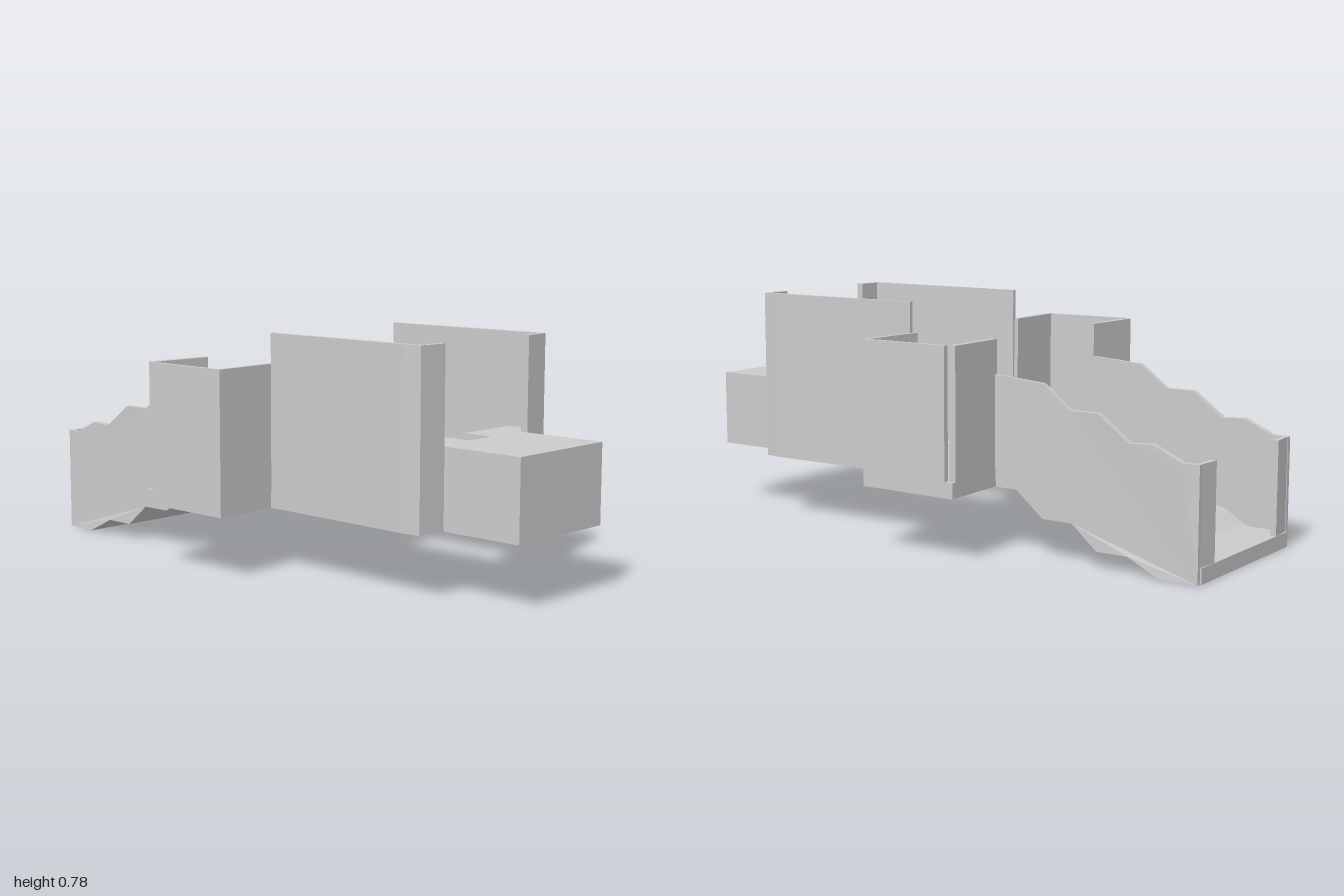
import * as THREE from 'three';
import { toCreasedNormals } from 'three/addons/utils/BufferGeometryUtils.js';

const material = new THREE.MeshStandardMaterial({ color: 0xcccccc });

function addMesh(group, name, geometry) {
  const mesh = new THREE.Mesh(geometry, material);
  mesh.name = name;
  group.add(mesh);
}

// Plan outline of [x, z] points raised from y0 to y1
function planGeometry(points, y0, y1) {
  const shape = new THREE.Shape(points.map(([x, z]) => new THREE.Vector2(x, -z)));
  const geometry = new THREE.ExtrudeGeometry(shape, { depth: y1 - y0, bevelEnabled: false });
  return geometry.rotateX(-Math.PI / 2).translate(0, y0, 0);
}

// Side outline of [z, y] points spread from x0 to x1
function sideGeometry(points, x0, x1) {
  const shape = new THREE.Shape(points.map(([z, y]) => new THREE.Vector2(z, y)));
  const geometry = new THREE.ExtrudeGeometry(shape, { depth: x1 - x0, bevelEnabled: false });
  return geometry.rotateY(-Math.PI / 2).translate(x1, 0, 0);
}

export function createModel() {
  const group = new THREE.Group();
  const base = 0.21, floorTop = 0.26;

  // Stepped underside and wall top of the ramp, front to back
  const under = [[-0.27, base], [-0.35, base], [-0.45, 0.13], [-0.56, 0.13],
    [-0.65, 0.055], [-0.76, 0.055], [-0.87, 0], [-0.995, 0]];
  const wallTop = [[-0.995, 0.36], [-0.94, 0.36], [-0.84, 0.405], [-0.76, 0.4],
    [-0.65, 0.48], [-0.55, 0.48], [-0.45, 0.555], [-0.25, 0.57]];

  // Cross-shaped middle floor
  const half = [[0.3, 0.165], [0.3, 0.065], [0.535, 0.08], [0.54, -0.275], [0.3, -0.265]];
  const mirrored = half.map(([x, z]) => [-x, z]).reverse();
  addMesh(group, 'middleFloor', planGeometry([...half, ...mirrored], base, floorTop));

  // Ramp floor with a smooth wavy top
  const wave = new THREE.SplineCurve(under.map(([z, y]) => new THREE.Vector2(z, y + 0.05)));
  const waveTop = wave.getPoints(48).reverse().map((p) => [p.x, Math.max(p.y, 0.05)]);
  waveTop[0] = [-1, 0.05];
  const rampFloor = sideGeometry([...under.slice(0, -1), [-1, 0], ...waveTop], -0.292, 0.292);
  addMesh(group, 'rampFloor', toCreasedNormals(rampFloor, 0.35));

  // Front block, with a notch in its back edge above a thin sill
  addMesh(group, 'frontSill', planGeometry(
    [[-0.295, 0.58], [0.295, 0.58], [0.295, 0.7], [0.205, 0.71], [0.205, 1],
      [-0.205, 1], [-0.205, 0.71], [-0.295, 0.7]], base, floorTop));
  addMesh(group, 'frontBlock', planGeometry(
    [[0.055, 0.58], [0.292, 0.58], [0.292, 0.695], [0.205, 0.705], [0.205, 1],
      [-0.205, 1], [-0.205, 0.705], [-0.292, 0.695], [-0.292, 0.58],
      [-0.055, 0.58], [-0.055, 0.69], [0.055, 0.69]], floorTop, 0.47));

  for (const [side, s] of [['left', 1], ['right', -1]]) {
    const plan = (name, points, y0, y1) =>
      addMesh(group, side + name, planGeometry(points.map(([x, z]) => [s * x, z]), y0, y1));

    // Tall front wall with a return at its front end
    plan('FrontWall', [[0.29, 0.07], [0.303, 0.07], [0.308, 0.4], [0.312, 0.64], [0.305, 0.705],
      [0.205, 0.715], [0.205, 0.69], [0.29, 0.69]], base, 0.78);

    // Side bay: front and outer wall, then a back wall leaving an open corner groove
    plan('BayWall', [[0.29, 0.065], [0.535, 0.08], [0.54, -0.245], [0.522, -0.245],
      [0.522, 0.062], [0.29, 0.05]], floorTop, 0.68);
    plan('BayBackWall', [[0.29, -0.265], [0.522, -0.274], [0.522, -0.25], [0.29, -0.245]],
      floorTop, 0.68);

    // Ramp side wall, bowed gently outward
    const wall = sideGeometry([...under, ...wallTop], 0.29, 0.31);
    const p = wall.attributes.position;
    for (let i = 0; i < p.count; i++) {
      if (p.getX(i) > 0.3) {
        const z = p.getZ(i);
        p.setX(i, z < -0.96 ? 0.306 : 0.3 + 0.012 * Math.min(1, Math.max(0, (-0.25 - z) / 0.4)));
      }
    }
    if (s < 0) {
      // Mirror and restore the corner order
      wall.scale(-1, 1, 1);
      for (let i = 0; i < p.count; i += 3) {
        const a = new THREE.Vector3().fromBufferAttribute(p, i);
        p.setXYZ(i, p.getX(i + 1), p.getY(i + 1), p.getZ(i + 1));
        p.setXYZ(i + 1, a.x, a.y, a.z);
      }
    }
    wall.computeVertexNormals();
    addMesh(group, side + 'RampWall', wall);

    // Return at the foot of the ramp
    plan('RampReturn', [[0.21, -0.98], [0.295, -0.98], [0.305, -0.992], [0.21, -1]], 0, 0.36);
  }
  return group;
}
